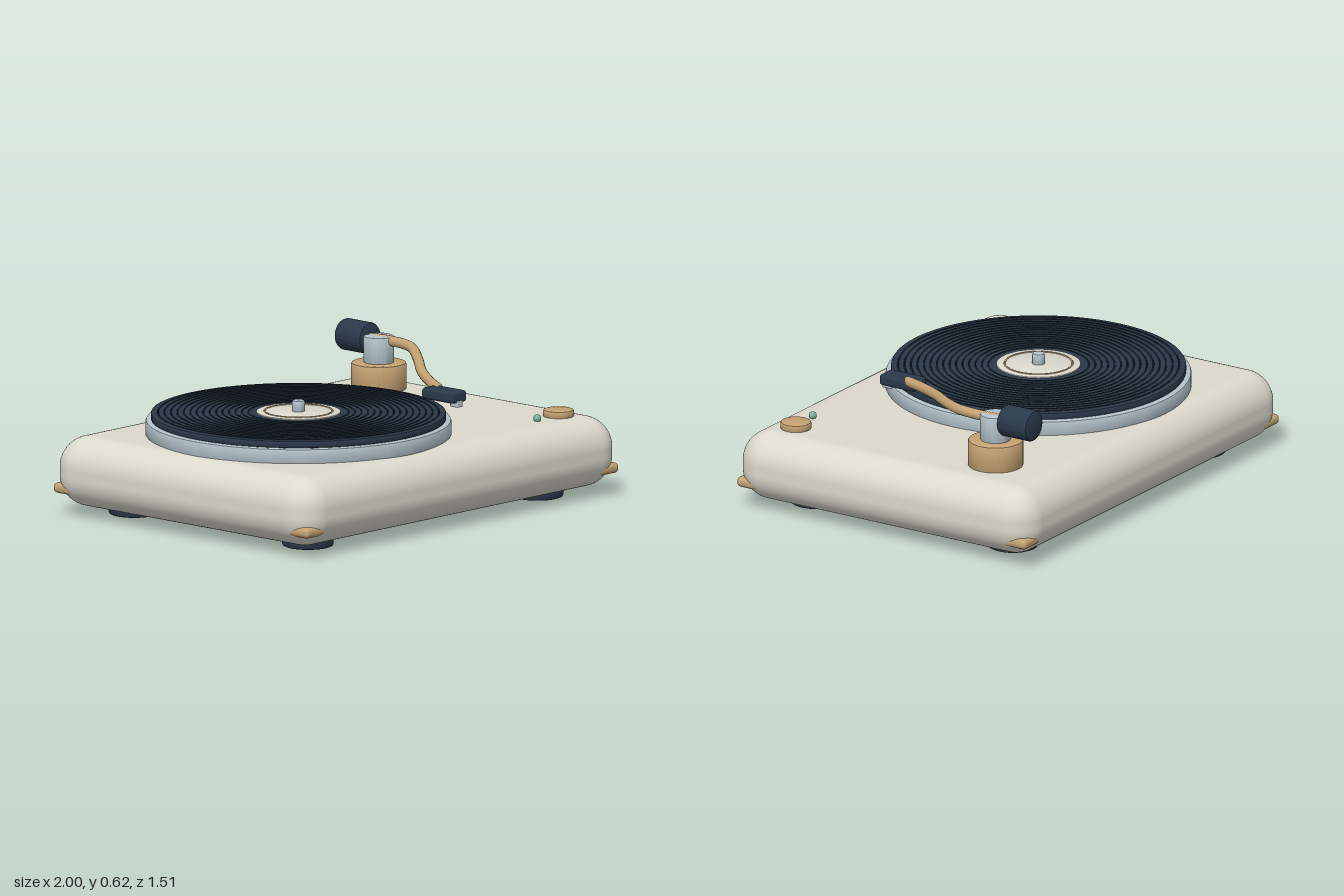
import * as THREE from 'three';
import { toCreasedNormals } from 'three/addons/utils/BufferGeometryUtils.js';
import { RoundedBoxGeometry } from 'three/addons/geometries/RoundedBoxGeometry.js';

const mat = (color) => new THREE.MeshStandardMaterial({ color });

export function createModel() {
  const group = new THREE.Group();
  const cream = mat(0xdcd9ce), navy = mat(0x2a394a), groove = mat(0x1c2733);
  const tan = mat(0xc4a273), silver = mat(0xb4c3cd), green = mat(0x7fb3a2);

  function add(name, geometry, material, x = 0, y = 0, z = 0) {
    const mesh = new THREE.Mesh(geometry, material);
    mesh.name = name;
    mesh.position.set(x, y, z);
    group.add(mesh);
    return mesh;
  }

  // Solid disc of radius r and height h standing on y = 0, with softened rims
  function disc(r, h, b = 0.006) {
    const points = [
      [0, 0], [r - b, 0], [r - b * 0.3, b * 0.3], [r, b],
      [r, h - b], [r - b * 0.3, h - b * 0.3], [r - b, h], [0, h],
    ].map(([px, py]) => new THREE.Vector2(px, py));
    return toCreasedNormals(new THREE.LatheGeometry(points, 64), 0.6);
  }

  // Plinth
  add('plinth', new RoundedBoxGeometry(2, 0.305, 1.51, 8, 0.135), cream, 0, 0.1925, 0);

  // Feet and corner guards
  for (const sx of [-1, 1]) {
    for (const sz of [-1, 1]) {
      add('foot', disc(0.11, 0.06, 0.01), navy, sx * 0.72, 0, sz * 0.505);
      add('cornerGuard', new RoundedBoxGeometry(0.12, 0.045, 0.12, 4, 0.02), tan,
        sx * 0.922, 0.118, sz * 0.682);
    }
  }

  // Platter, record and label
  const cx = -0.235;
  add('platter', disc(0.653, 0.07, 0.01), silver, cx, 0.338, 0);
  add('record', disc(0.63, 0.03, 0.005), navy, cx, 0.408, 0);
  for (let i = 0; i < 15; i++) {
    const ring = add('recordGroove', new THREE.TorusGeometry(0.215 + i * 0.0275, 0.004, 6, 80),
      groove, cx, 0.4375, 0);
    ring.rotation.x = Math.PI / 2;
  }
  add('label', disc(0.18, 0.008, 0.002), cream, cx, 0.435, 0);
  const labelRing = add('labelRing', new THREE.TorusGeometry(0.145, 0.004, 6, 64), tan, cx, 0.443, 0);
  labelRing.rotation.x = Math.PI / 2;
  add('spindle', disc(0.027, 0.055, 0.008), silver, cx, 0.436, 0);

  // Tonearm pivot
  add('armBase', disc(0.118, 0.12, 0.008), tan, 0.71, 0.34, -0.41);
  add('armPillar', disc(0.066, 0.118, 0.008), silver, 0.71, 0.457, -0.41);
  const weight = add('counterweight', disc(0.068, 0.153, 0.012), navy, 0.71, 0.555, -0.457);
  weight.rotation.x = -Math.PI / 2;

  // Curved arm
  const path = new THREE.CatmullRomCurve3([
    [0.71, 0.557, -0.47], [0.723, 0.557, -0.35], [0.702, 0.553, -0.22], [0.61, 0.532, -0.09],
    [0.505, 0.51, 0.03], [0.425, 0.495, 0.15], [0.36, 0.482, 0.275],
  ].map((p) => new THREE.Vector3(...p)));
  add('tonearm', new THREE.TubeGeometry(path, 64, 0.022, 16), tan);

  // Headshell and stylus
  add('headshell', new RoundedBoxGeometry(0.094, 0.05, 0.185, 4, 0.015), navy, 0.342, 0.472, 0.312);
  add('cartridge', new RoundedBoxGeometry(0.035, 0.03, 0.045, 2, 0.005), silver, 0.342, 0.443, 0.383);

  // Controls
  add('knob', disc(0.066, 0.035, 0.008), tan, 0.795, 0.34, 0.557);
  add('indicatorLight', new THREE.SphereGeometry(0.017, 20, 14), green, 0.652, 0.357, 0.566);

  return group;
}
